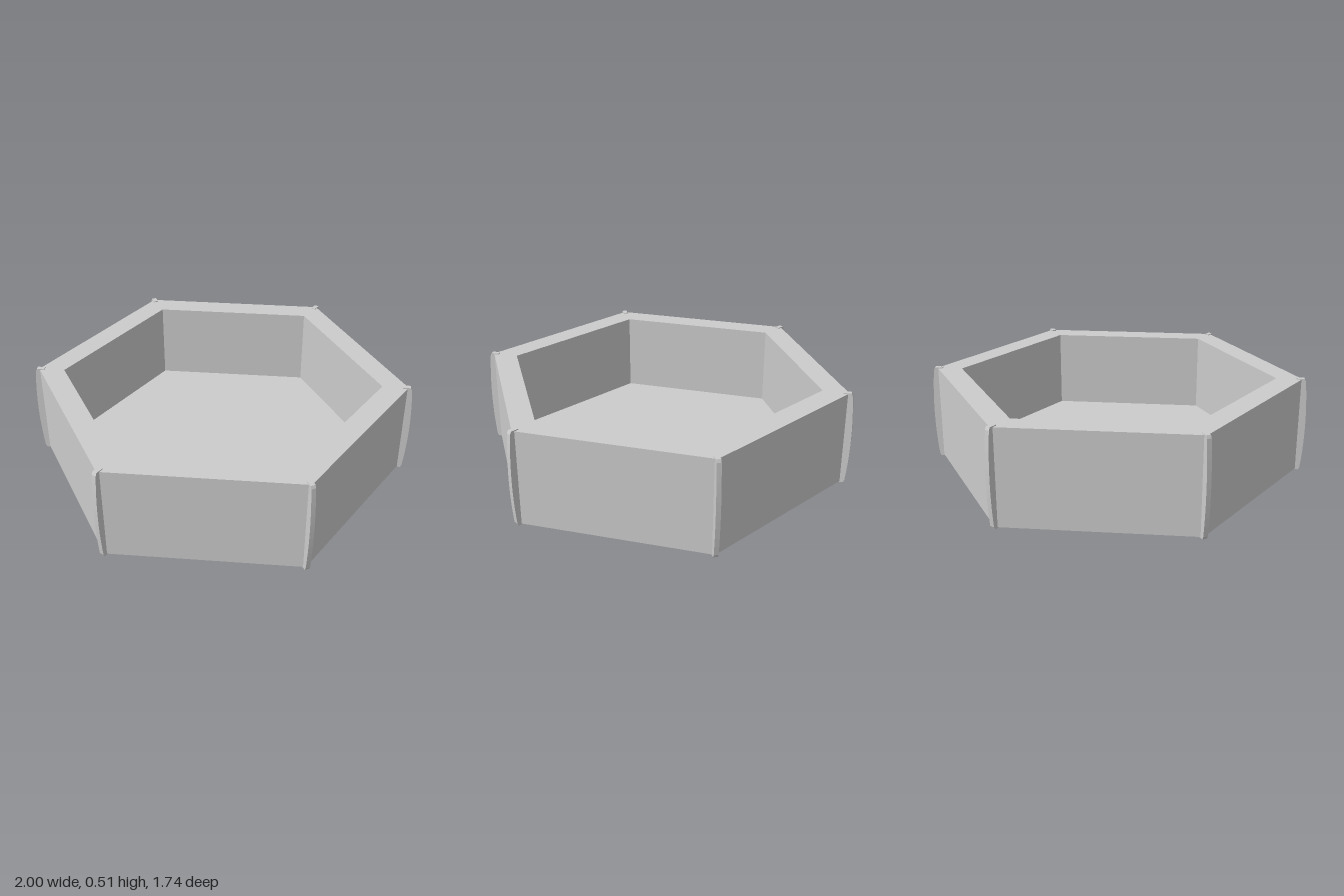
import * as THREE from 'three';

const HEIGHT = 0.51, LIP = 0.005;
const OUTER = 0.97, INNER = 0.835, FLOOR = 0.08;
const FIN_WIDTH = 0.024;

// Fin outline seen from the side: straight root, gently bowed outer edge
function finGeometry() {
  const shape = new THREE.Shape();
  shape.moveTo(0.94, 0);
  shape.lineTo(0.98, 0);
  shape.lineTo(0.987, 0.015);
  shape.quadraticCurveTo(1.013, HEIGHT / 2, 0.987, HEIGHT - 0.015);
  shape.lineTo(0.98, HEIGHT);
  shape.lineTo(0.94, HEIGHT);
  shape.closePath();
  const geometry = new THREE.ExtrudeGeometry(shape, {
    depth: FIN_WIDTH, bevelEnabled: false, curveSegments: 10,
  });
  return geometry.translate(0, 0, -FIN_WIDTH / 2);
}

export function createModel() {
  const group = new THREE.Group();
  const material = new THREE.MeshStandardMaterial({ color: 0xcccccc, flatShading: true });

  // Six-sided tray: underside, outer wall, rim, inner wall and floor in one profile
  const profile = [
    [0, LIP], [OUTER, LIP], [OUTER, HEIGHT - LIP],
    [INNER, HEIGHT - LIP], [INNER, FLOOR], [0, FLOOR],
  ].map(([r, y]) => new THREE.Vector2(r, y));
  const tray = new THREE.Mesh(new THREE.LatheGeometry(profile, 6, Math.PI / 2), material);
  tray.name = 'hexagonalTray';
  group.add(tray);

  // A thin upright fin on every corner
  const fin = finGeometry();
  for (let i = 0; i < 6; i++) {
    const mesh = new THREE.Mesh(fin, material);
    mesh.name = `cornerFin${i + 1}`;
    mesh.rotation.y = (i * Math.PI) / 3;
    group.add(mesh);
  }
  return group;
}
